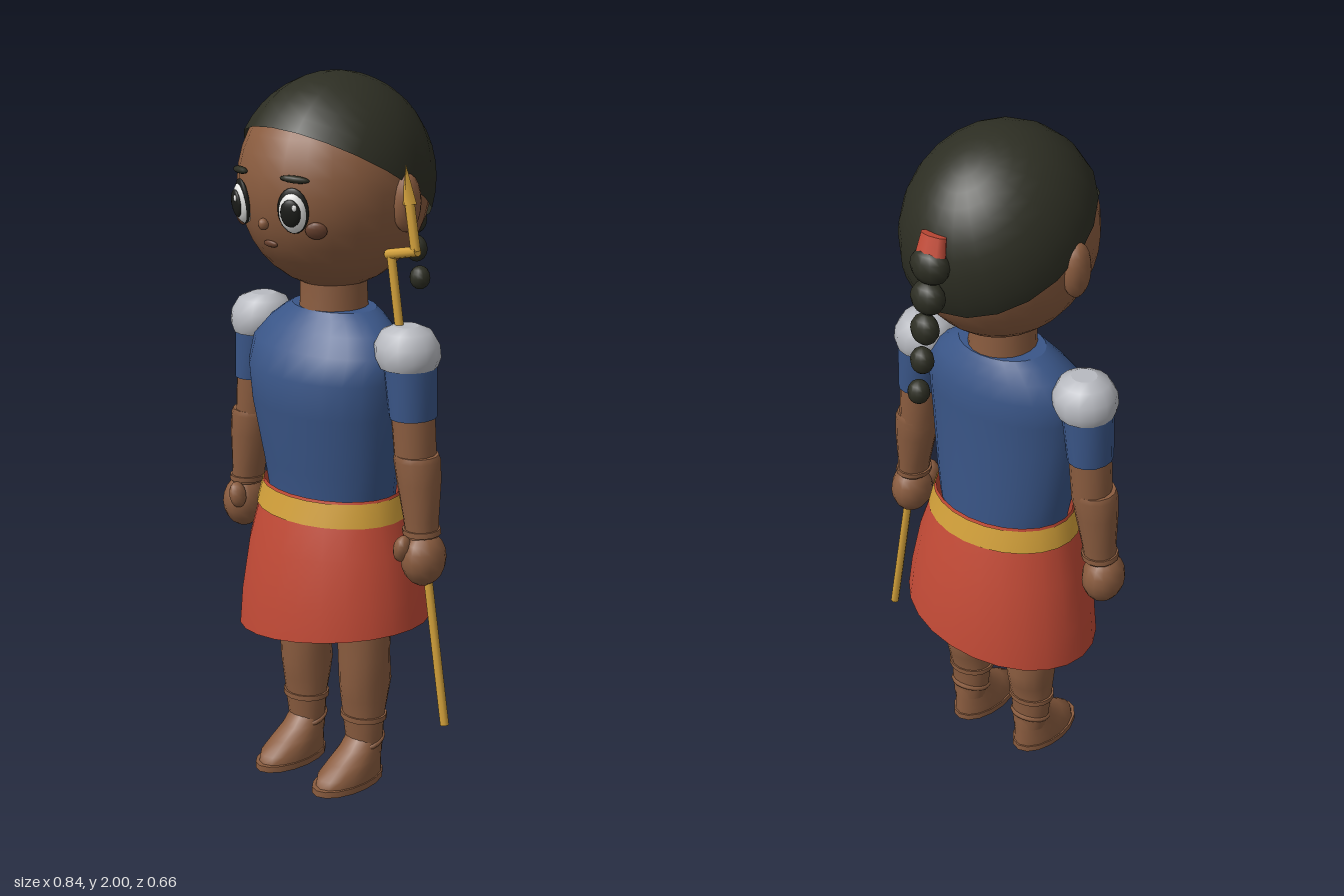
import * as THREE from 'three';

const mat = (name, color, side = THREE.FrontSide) => {
  const m = new THREE.MeshStandardMaterial({ color, side });
  m.name = name;
  return m;
};

// Stacks elliptical rings [y, cx, cz, rx, rz] from bottom to top; tilt slopes the lowest ring.
function loft(rings, { seg = 20, caps = true, tilt = 0 } = {}) {
  const pos = [], idx = [];
  const ring = (r, i) => {
    const [y, cx, cz, rx, rz] = r;
    const k = tilt * (1 - i / (rings.length - 1));
    for (let j = 0; j < seg; j++) {
      const a = (j / seg) * Math.PI * 2, dx = Math.sin(a) * rx;
      pos.push(cx + dx, y + k * dx, cz + Math.cos(a) * rz);
    }
  };
  rings.forEach(ring);
  for (let i = 0; i < rings.length - 1; i++) {
    for (let j = 0; j < seg; j++) {
      const a = i * seg + j, b = i * seg + (j + 1) % seg;
      idx.push(a, b, b + seg, a, b + seg, a + seg);
    }
  }
  if (caps) {
    for (const i of [0, rings.length - 1]) {
      const s = pos.length / 3;
      ring(rings[i], i);
      for (let j = 1; j < seg - 1; j++) {
        if (i) idx.push(s, s + j, s + j + 1);
        else idx.push(s, s + j + 1, s + j);
      }
    }
  }
  const g = new THREE.BufferGeometry();
  g.setAttribute('position', new THREE.Float32BufferAttribute(pos, 3));
  g.setIndex(idx);
  g.computeVertexNormals();
  return g;
}

const ball = (rx, ry, rz, w = 16, h = 12) => new THREE.SphereGeometry(1, w, h).scale(rx, ry, rz);

export function createModel() {
  const skin = mat('skin', 0x8a5c3f);
  const cheekBrown = mat('cheek brown', 0x6b4330);
  const hair = mat('dark hair', 0x2d2e23, THREE.DoubleSide);
  const blue = mat('blue cloth', 0x3a5688);
  const red = mat('red cloth', 0xc24a36, THREE.DoubleSide);
  const gold = mat('gold', 0xd2a03a);
  const silver = mat('silver', 0xb8bac0);
  const white = mat('eye white', 0xe6e6e4);
  const black = mat('eye black', 0x1b1c19);

  const root = new THREE.Group();
  root.name = 'figure';
  const body = new THREE.Group();
  body.name = 'body';
  body.position.x = -0.018;
  root.add(body);
  const add = (name, geo, material, x = 0, y = 0, z = 0, parent = body) => {
    const m = new THREE.Mesh(geo, material);
    m.name = name;
    m.position.set(x, y, z);
    parent.add(m);
    return m;
  };

  // Head, tilted hair cap and neck
  const C = new THREE.Vector3(0, 1.708, 0.04), R = new THREE.Vector3(0.25, 0.286, 0.272);
  add('head', ball(R.x, R.y, R.z, 24, 18), skin, C.x, C.y, C.z);
  const cap = new THREE.SphereGeometry(1, 20, 10, 0, Math.PI * 2, 0, Math.PI * 0.475);
  cap.rotateX(-0.54).scale(0.258, 0.292, 0.288);
  add('hairCap', cap, hair, C.x, C.y, C.z);
  add('neck', loft([[1.34, 0, 0.045, 0.1, 0.1], [1.38, 0, 0.045, 0.092, 0.095], [1.45, 0, 0.045, 0.09, 0.093]]), skin);

  // Places a feature on the head surface, facing along the surface normal
  const onFace = (name, geo, material, x, y, off = 0, roll = 0) => {
    const u = x / R.x, v = (y - C.y) / R.y, w = Math.sqrt(1 - u * u - v * v);
    const n = new THREE.Vector3(u / R.x, v / R.y, w / R.z).normalize();
    const p = new THREE.Vector3(x, y, C.z + w * R.z);
    const m = add(name, geo, material);
    m.position.copy(p).addScaledVector(n, off);
    m.lookAt(p.add(n).addScaledVector(n, off));
    m.rotateZ(roll);
    return m;
  };
  for (const s of [-1, 1]) {
    onFace('eyeRim', ball(0.043, 0.061, 0.012), black, s * 0.093, 1.676, 0.001);
    onFace('eyeWhite', ball(0.039, 0.055, 0.025), white, s * 0.093, 1.672);
    onFace('iris', ball(0.028, 0.037, 0.011), black, s * 0.092, 1.674, 0.018);
    onFace('eyeGlint', ball(0.007, 0.009, 0.004, 8, 6), white, s * 0.092 + 0.012, 1.69, 0.027);
    onFace('eyebrow', ball(0.041, 0.01, 0.014, 12, 8), hair, s * 0.097, 1.757, 0.006, -s * 0.06);
    onFace('cheek', ball(0.029, 0.024, 0.012, 12, 8), cheekBrown, s * 0.138, 1.625, 0.002);
    add('ear', ball(0.033, 0.078, 0.045, 12, 10), skin, s * 0.249, 1.68, 0.03);
  }
  onFace('nose', ball(0.014, 0.016, 0.014, 10, 8), skin, 0, 1.632, 0.006);
  onFace('mouth', ball(0.025, 0.01, 0.007, 12, 8), cheekBrown, 0, 1.575, 0.001);

  // Braid of shrinking beads and its tie
  [[1.73, -0.252, 0.058, 0.052, 0.042], [1.643, -0.263, 0.05, 0.048, 0.038], [1.557, -0.277, 0.041, 0.044, 0.033],
    [1.47, -0.29, 0.033, 0.038, 0.03], [1.383, -0.306, 0.03, 0.034, 0.03]].forEach(([y, z, rx, ry, rz]) =>
    add('braidBead', ball(rx, ry, rz, 12, 8), hair, 0, y, z));
  const tie = add('hairTie', new THREE.CylinderGeometry(0.04, 0.047, 0.05, 8), red, 0, 1.787, -0.242);
  tie.scale.z = 0.6;
  tie.rotation.x = 0.25;

  // Torso, skirt and belt
  add('torso', loft([
    [0.84, 0, 0.055, 0.2, 0.145], [0.93, 0, 0.06, 0.215, 0.15], [1.1, 0, 0.076, 0.238, 0.165],
    [1.2, 0, 0.077, 0.247, 0.171], [1.27, 0, 0.063, 0.246, 0.157], [1.32, 0, 0.052, 0.205, 0.13],
    [1.355, 0, 0.045, 0.16, 0.108], [1.372, 0, 0.043, 0.13, 0.097],
  ], { seg: 24 }), blue);
  add('skirt', loft([
    [0.46, 0, 0.048, 0.295, 0.238], [0.56, 0, 0.05, 0.284, 0.23], [0.7, 0, 0.053, 0.259, 0.206],
    [0.8, 0, 0.055, 0.23, 0.178], [0.868, 0, 0.055, 0.213, 0.161],
  ], { seg: 24, caps: false, tilt: 0.14 }), red);
  add('belt', loft([[0.797, 0, 0.055, 0.234, 0.182], [0.862, 0, 0.055, 0.218, 0.167]], { seg: 24, caps: false }),
    gold).material.side = THREE.DoubleSide;

  for (const s of [-1, 1]) {
    const arm = new THREE.Group(), leg = new THREE.Group();
    arm.name = s > 0 ? 'leftArm' : 'rightArm';
    leg.name = s > 0 ? 'leftLeg' : 'rightLeg';
    body.add(arm, leg);
    const part = (parent, name, rings, material, seg = 14) =>
      add(name, loft(rings.map(([y, x, ...r]) => [y, s * x, ...r]), { seg }), material, 0, 0, 0, parent);

    // Arm with shoulder guard, sleeve, forearm and fist
    part(arm, 'shoulderGuard', [[1.25, 0.278, 0.05, 0.076, 0.08], [1.275, 0.275, 0.05, 0.088, 0.09],
      [1.31, 0.272, 0.05, 0.087, 0.088], [1.345, 0.27, 0.05, 0.068, 0.068], [1.36, 0.268, 0.05, 0.035, 0.035]], silver);
    part(arm, 'sleeve', [[1.115, 0.296, 0.05, 0.061, 0.069], [1.27, 0.282, 0.05, 0.07, 0.076]], blue);
    part(arm, 'upperArm', [[0.98, 0.307, 0.05, 0.055, 0.059], [1.125, 0.295, 0.05, 0.057, 0.062]], skin);
    part(arm, 'forearm', [[0.79, 0.337, 0.056, 0.044, 0.047], [0.84, 0.332, 0.055, 0.047, 0.05],
      [0.94, 0.321, 0.053, 0.06, 0.06], [1.0, 0.313, 0.052, 0.064, 0.064], [1.015, 0.311, 0.052, 0.06, 0.06]], skin);
    part(arm, 'wristCuff', [[0.797, 0.336, 0.056, 0.051, 0.054], [0.812, 0.334, 0.056, 0.051, 0.054]], skin);
    add('hand', ball(0.058, 0.077, 0.067, 14, 10), skin, s * 0.347, 0.73, 0.06, arm);
    add('thumb', ball(0.023, 0.038, 0.027, 10, 8), skin, s * 0.318, 0.764, 0.115, arm).rotation.z = -s * 0.2;

    // Leg with calf band, anklet, foot and sole
    part(leg, 'shin', [[0.08, 0.114, 0.042, 0.052, 0.048], [0.19, 0.114, 0.046, 0.063, 0.055],
      [0.25, 0.114, 0.043, 0.068, 0.068], [0.3, 0.115, 0.041, 0.072, 0.077], [0.38, 0.116, 0.047, 0.076, 0.071],
      [0.5, 0.117, 0.05, 0.08, 0.073], [0.78, 0.112, 0.052, 0.085, 0.085]], skin, 16);
    part(leg, 'calfBand', [[0.185, 0.114, 0.046, 0.07, 0.062], [0.2, 0.114, 0.046, 0.07, 0.062]], skin, 16);
    const anklet = add('anklet', new THREE.TorusGeometry(0.053, 0.008, 6, 18), skin, s * 0.114, 0.115, 0.043, leg);
    anklet.rotation.x = Math.PI / 2 + 0.3;
    part(leg, 'foot', [[0.015, 0.114, 0.108, 0.066, 0.118], [0.04, 0.114, 0.105, 0.065, 0.114],
      [0.07, 0.114, 0.082, 0.06, 0.09], [0.1, 0.114, 0.058, 0.054, 0.066], [0.13, 0.114, 0.045, 0.05, 0.05]], skin, 16);
    part(leg, 'sole', [[0, 0.114, 0.112, 0.07, 0.127], [0.018, 0.114, 0.112, 0.07, 0.127]], skin, 16);
  }

  // Zigzag staff with a spear point
  const staff = new THREE.Group();
  staff.name = 'staff';
  staff.position.z = 0.058;
  root.add(staff);
  const rod = (name, [x0, y0], [x1, y1], r0, r1 = r0, seg = 8) => {
    const m = add(name, new THREE.CylinderGeometry(r1, r0, Math.hypot(x1 - x0, y1 - y0), seg), gold,
      (x0 + x1) / 2, (y0 + y1) / 2, 0, staff);
    m.rotation.z = -Math.atan2(x1 - x0, y1 - y0);
    return m;
  };
  rod('shaft', [0.41, 0.262], [0.202, 1.548], 0.012);
  rod('staffCrossbar', [0.19, 1.542], [0.295, 1.566], 0.014);
  rod('staffUpright', [0.288, 1.565], [0.264, 1.7], 0.013);
  rod('spearPoint', [0.265, 1.685], [0.252, 1.785], 0.026, 0.001, 4).scale.z = 0.7;

  return root;
}
